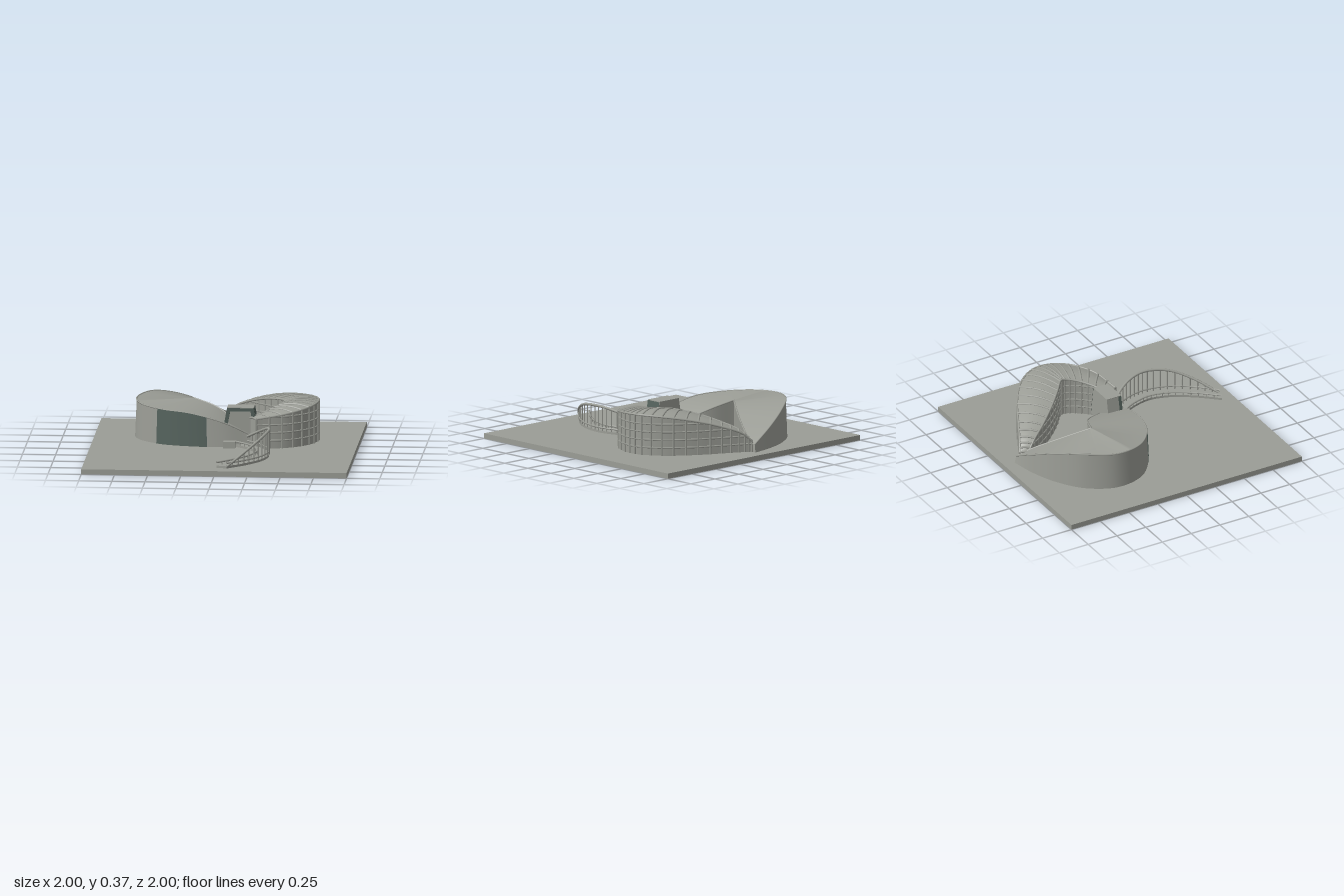
import * as THREE from 'three';
import { toCreasedNormals } from 'three/addons/utils/BufferGeometryUtils.js';

const concrete = new THREE.MeshStandardMaterial({ color: 0x9b9d96, side: THREE.DoubleSide });
concrete.name = 'concrete grey';
const glass = new THREE.MeshStandardMaterial({ color: 0x53615b, side: THREE.DoubleSide });
glass.name = 'dark green glass';

const GROUND = 0.04;
const V = (x, y, z) => new THREE.Vector3(x, y, z);
const curve = (pts) => new THREE.CatmullRomCurve3(pts.map((p) => V(...p)), false, 'centripetal');
const drop = (p, y = GROUND) => V(p.x, y, p.z);

function add(parent, name, geometry, material = concrete) {
  const mesh = new THREE.Mesh(geometry, material);
  mesh.name = name;
  parent.add(mesh);
  return mesh;
}

// Skin through cross-sections; section(t) returns a row of points, t from 0 to 1
function loft(section, steps, closed = true) {
  const pos = [], index = [];
  let n = 0;
  for (let i = 0; i <= steps; i++) {
    const row = section(i / steps);
    n = row.length;
    row.forEach((p) => pos.push(p.x, p.y, p.z));
  }
  for (let i = 0; i < steps; i++) {
    for (let j = 0; j < (closed ? n : n - 1); j++) {
      const a = i * n + j, b = i * n + (j + 1) % n;
      index.push(a, a + n, b, b, a + n, b + n);
    }
  }
  if (closed) {
    for (let j = 1; j < n - 1; j++) {
      const e = steps * n;
      index.push(0, j, j + 1, e, e + j + 1, e + j);
    }
  }
  const g = new THREE.BufferGeometry();
  g.setAttribute('position', new THREE.Float32BufferAttribute(pos, 3));
  g.setIndex(index);
  return toCreasedNormals(g, 0.6);
}

function pipe(points, radius, steps = 40, sides = 6) {
  return new THREE.TubeGeometry(new THREE.CatmullRomCurve3(points, false, 'centripetal'), steps, radius, sides);
}

// Straight square bar between two points
function bar(a, b, r) {
  return new THREE.TubeGeometry(new THREE.LineCurve3(a, b), 1, r, 4);
}

const sample = (f, n) => Array.from({ length: n + 1 }, (_, i) => f(i / n));

// Solid hall with a conical roof falling from one inner apex
function createHall() {
  const hall = new THREE.Group();
  hall.name = 'solidHall';
  const rim = curve([[0, 0.10, -0.9], [-0.2, 0.2, -0.855], [-0.4, 0.285, -0.77], [-0.58, 0.33, -0.63],
    [-0.683, 0.325, -0.42], [-0.64, 0.315, -0.2], [-0.47, 0.303, -0.04], [-0.25, 0.288, 0.03],
    [0, 0.225, 0.05], [0.2, 0.13, 0.02]]);
  const backEdge = curve([[0, 0.10, -0.885], [-0.03, 0.14, -0.79], [-0.15, 0.24, -0.57], [-0.26, 0.325, -0.4]]);
  const frontEdge = curve([[-0.26, 0.325, -0.4], [-0.1, 0.28, -0.34], [0, 0.235, -0.27], [0.12, 0.17, -0.12], [0.2, 0.13, 0.005]]);
  const inner = (t) => {
    const k = Math.abs(2 * t - 1) ** 3;
    return t < 0.5 ? backEdge.getPoint(1 - k) : frontEdge.getPoint(k);
  };
  // Outer wall leans in slightly towards the top
  const foot = (p) => V(p.x + (p.x + 0.2) * 0.025, GROUND, p.z + (p.z + 0.4) * 0.025);
  add(hall, 'hallWallsAndRoof', loft((t) => {
    const p = rim.getPoint(t), q = inner(t);
    return [foot(p), p, q, drop(q)];
  }, 72));
  add(hall, 'roofRim', pipe(sample((t) => rim.getPoint(t), 48), 0.006, 72));
  add(hall, 'innerRoofEdgeBack', pipe(sample((t) => backEdge.getPoint(t), 12), 0.006));
  add(hall, 'innerRoofEdgeFront', pipe(sample((t) => frontEdge.getPoint(t), 12), 0.006));

  // Tall dark window wall facing the front
  const atX = (x) => {
    let t = 0.5;
    while (t < 1 && rim.getPoint(t).x < x) t += 0.001;
    return t;
  };
  const t0 = atX(-0.505), t1 = atX(-0.125);
  const out = V(-0.002, 0, 0.006);
  add(hall, 'frontWindowWall', loft((t) => {
    const p = rim.getPoint(t0 + (t1 - t0) * t);
    return [foot(p).add(out), p.clone().add(out)];
  }, 16, false), glass);
  return hall;
}

// Ribbed crescent wing
function createWing() {
  const wing = new THREE.Group();
  wing.name = 'ribbedWing';
  const outer = curve([[0.0, 0.12, -0.87], [0.06, 0.18, -0.835], [0.2, 0.24, -0.765], [0.4, 0.30, -0.66],
    [0.58, 0.335, -0.52], [0.68, 0.345, -0.36], [0.69, 0.34, -0.23], [0.63, 0.325, -0.08],
    [0.48, 0.30, 0.05], [0.25, 0.265, 0.105]]);
  const inner = curve([[-0.03, 0.12, -0.81], [0.0, 0.18, -0.755], [0.08, 0.24, -0.63], [0.2, 0.30, -0.48],
    [0.32, 0.335, -0.36], [0.43, 0.345, -0.265], [0.44, 0.34, -0.235], [0.40, 0.325, -0.15],
    [0.32, 0.30, -0.06], [0.2, 0.26, 0.03]]);
  const section = (t) => {
    const a = outer.getPoint(t), b = inner.getPoint(t);
    const crown = a.distanceTo(b) * 0.07;
    const roof = sample((f) => a.clone().lerp(b, f).add(V(0, crown * Math.sin(Math.PI * f), 0)), 8);
    return [drop(a), ...roof, drop(b)];
  };
  add(wing, 'wingWallsAndRoof', loft(section, 60));

  // Ribs run up the outer wall, over the roof and down the inner wall
  const RIBS = 22;
  for (let i = 0; i <= RIBS; i++) {
    const s = section(i / RIBS);
    add(wing, 'roofRib', pipe(s.slice(1, -1), 0.009, 12));
    add(wing, 'outerMullion', bar(s[0], s[1], 0.009));
    add(wing, 'innerMullion', bar(s[9], s[10], 0.007));
  }
  // Horizontal transoms stop where the roof comes down to them
  for (const c of [outer, inner]) {
    for (const y of [0.1, 0.16, 0.22, 0.28]) {
      const pts = sample((t) => c.getPoint(t), 60).filter((p) => p.y > y).map((p) => drop(p, y));
      add(wing, 'transom', pipe(pts, 0.007, 60, 4));
    }
    add(wing, 'eaves', pipe(sample((t) => c.getPoint(t), 48), 0.008, 60));
  }
  return wing;
}

// Tapered roof lantern with a dark frame
function createLantern() {
  const lantern = new THREE.Group();
  lantern.name = 'roofLantern';
  const bl = [-0.02, 0.1], br = [0.262, 0.1], tl = [0.025, 0.333], tr = [0.225, 0.333];
  const outline = () => new THREE.Shape([bl, br, tr, tl].map((p) => new THREE.Vector2(...p)));
  const body = new THREE.ExtrudeGeometry(outline(), { depth: 0.1, bevelEnabled: false });
  add(lantern, 'lanternBody', body).position.z = -0.1;
  const frame = outline();
  frame.holes.push(new THREE.Path([[0.01, 0.11], [0.048, 0.308], [0.202, 0.308], [0.232, 0.11]].map((p) => new THREE.Vector2(...p))));
  add(lantern, 'lanternFrame', new THREE.ExtrudeGeometry(frame, { depth: 0.025, bevelEnabled: false }), glass);
  const cap = add(lantern, 'lanternTop', new THREE.BoxGeometry(0.2, 0.004, 0.125));
  cap.position.set(0.125, 0.335, -0.0375);
  add(lantern, 'lanternSideWindow', loft((t) => [
    V(br[0] + 0.003, br[1], 0.025 - 0.125 * t), V(tr[0] + 0.003, tr[1], 0.025 - 0.125 * t)], 1, false), glass);
  return lantern;
}

// Curved footbridge hung from one outer arch
function createBridge() {
  const bridge = new THREE.Group();
  bridge.name = 'footbridge';
  const right = curve([[0.18, 0.062, 0.03], [0.30, 0.062, 0.18], [0.358, 0.062, 0.32], [0.37, 0.062, 0.45],
    [0.325, 0.062, 0.62], [0.22, 0.062, 0.78], [0.09, 0.062, 0.915]]);
  const left = curve([[0.09, 0.062, 0.06], [0.21, 0.062, 0.19], [0.265, 0.062, 0.32], [0.28, 0.062, 0.43],
    [0.24, 0.062, 0.58], [0.14, 0.062, 0.74], [0.01, 0.062, 0.89]]);
  const arch = curve([[0.18, 0.12, 0.03], [0.30, 0.198, 0.18], [0.358, 0.24, 0.32], [0.37, 0.248, 0.45],
    [0.325, 0.222, 0.62], [0.22, 0.15, 0.78], [0.09, 0.06, 0.915]]);
  add(bridge, 'bridgeDeck', loft((t) => {
    const a = right.getPoint(t), b = left.getPoint(t);
    return [drop(a, 0.045), a, b, drop(b, 0.045)];
  }, 40));
  add(bridge, 'bridgeArch', pipe(sample((t) => arch.getPoint(t), 30), 0.01, 60, 8));
  for (const c of [left, right]) {
    add(bridge, 'bridgeKerbRail', pipe(sample((t) => drop(c.getPoint(t), 0.086), 30), 0.007, 50));
  }
  for (let i = 1; i < 20; i++) {
    const t = i / 20;
    add(bridge, 'archHanger', bar(right.getPoint(t), arch.getPoint(t), 0.006));
    const p = left.getPoint(t);
    add(bridge, 'kerbPost', bar(p, drop(p, 0.086), 0.004));
  }
  return bridge;
}

export function createModel() {
  const model = new THREE.Group();
  model.name = 'courtyardPavilion';
  add(model, 'basePlate', new THREE.BoxGeometry(2, GROUND, 2)).position.y = GROUND / 2;
  model.add(createHall(), createWing(), createLantern(), createBridge());
  // Low entrance block beside the bridge
  add(model, 'entranceBlock', new THREE.BoxGeometry(0.09, 0.05, 0.06)).position.set(0.047, 0.065, 0.078);
  return model;
}
